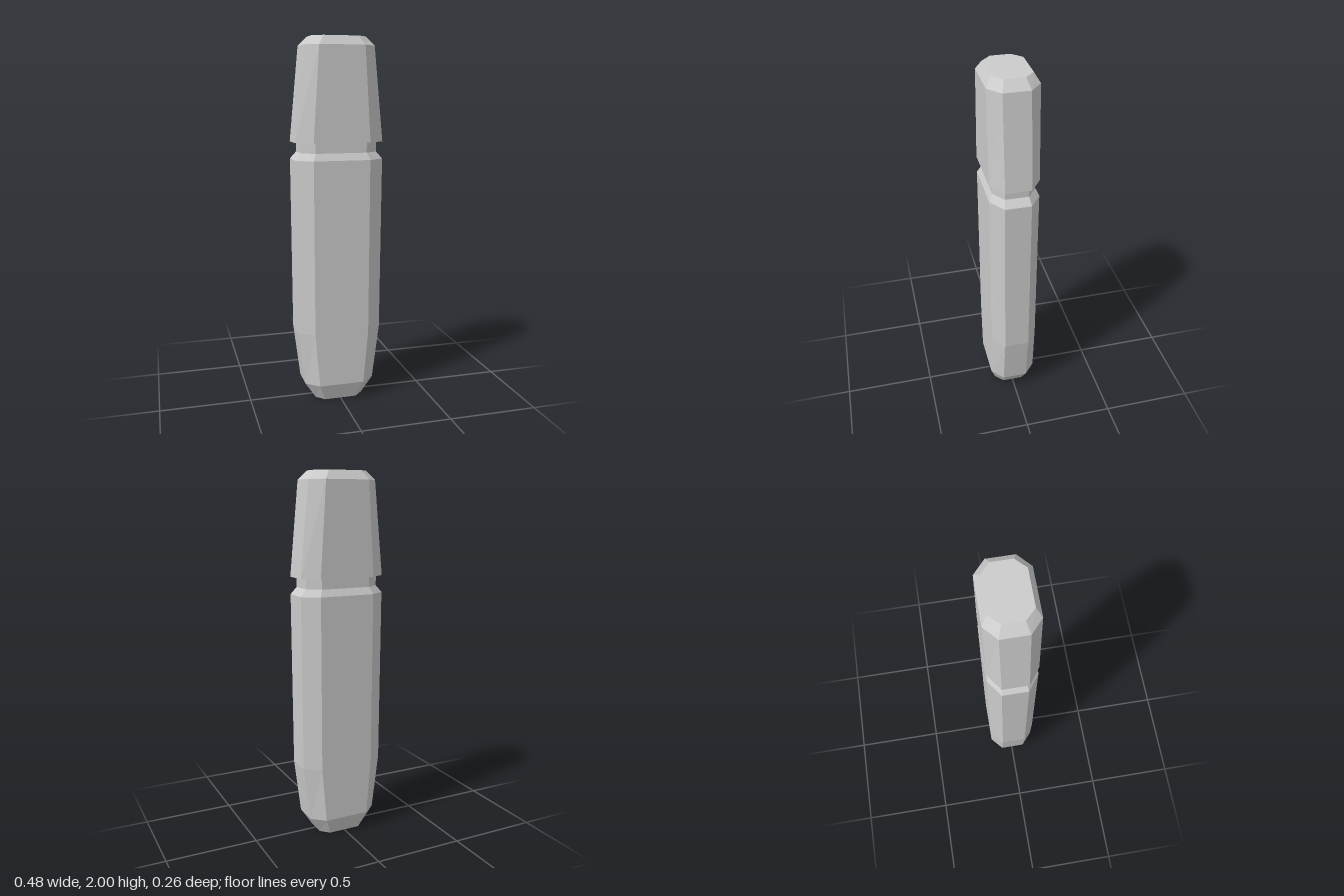
import * as THREE from 'three';

// Chamfered-rectangle outline: half width, half flat front, half depth, half flat side
function ring([y, hx, fx, hz, fz]) {
  return [[hx, fz], [fx, hz], [-fx, hz], [-hx, fz], [-hx, -fz], [-fx, -hz], [fx, -hz], [hx, -fz]]
    .map(([x, z]) => [x, y, z]);
}

// Joins the outlines from bottom to top and closes both ends
function loft(name, sections, material) {
  const rings = sections.map(ring);
  const n = rings[0].length;
  const pos = [];
  const tri = (a, b, c) => pos.push(...a, ...b, ...c);
  for (let k = 0; k < rings.length - 1; k++) {
    const lo = rings[k], hi = rings[k + 1];
    for (let i = 0; i < n; i++) {
      const j = (i + 1) % n;
      tri(lo[i], hi[i], lo[j]);
      tri(lo[j], hi[i], hi[j]);
    }
  }
  const bottom = rings[0], top = rings[rings.length - 1];
  for (let i = 1; i < n - 1; i++) {
    tri(bottom[0], bottom[i], bottom[i + 1]);
    tri(top[0], top[i + 1], top[i]);
  }
  const geometry = new THREE.BufferGeometry();
  geometry.setAttribute('position', new THREE.Float32BufferAttribute(pos, 3));
  geometry.computeVertexNormals();
  const mesh = new THREE.Mesh(geometry, material);
  mesh.name = name;
  return mesh;
}

export function createModel() {
  const group = new THREE.Group();
  group.name = 'cappedCase';
  const material = new THREE.MeshStandardMaterial({ color: 0xcccccc, flatShading: true });

  // Lower case with a tapered foot, a bevelled shoulder and a recessed neck
  group.add(loft('body', [
    [0, 0.135, 0.09, 0.1, 0.055],
    [0.095, 0.197, 0.126, 0.131, 0.069],
    [0.4, 0.236, 0.152, 0.131, 0.069],
    [1.357, 0.242, 0.155, 0.131, 0.069],
    [1.395, 0.209, 0.14, 0.112, 0.062],
    [1.45, 0.209, 0.14, 0.112, 0.062],
  ], material));

  // Tapered cap with a bevelled top
  group.add(loft('cap', [
    [1.45, 0.242, 0.155, 0.131, 0.069],
    [1.953, 0.193, 0.123, 0.131, 0.069],
    [2, 0.147, 0.094, 0.103, 0.052],
  ], material));

  return group;
}
